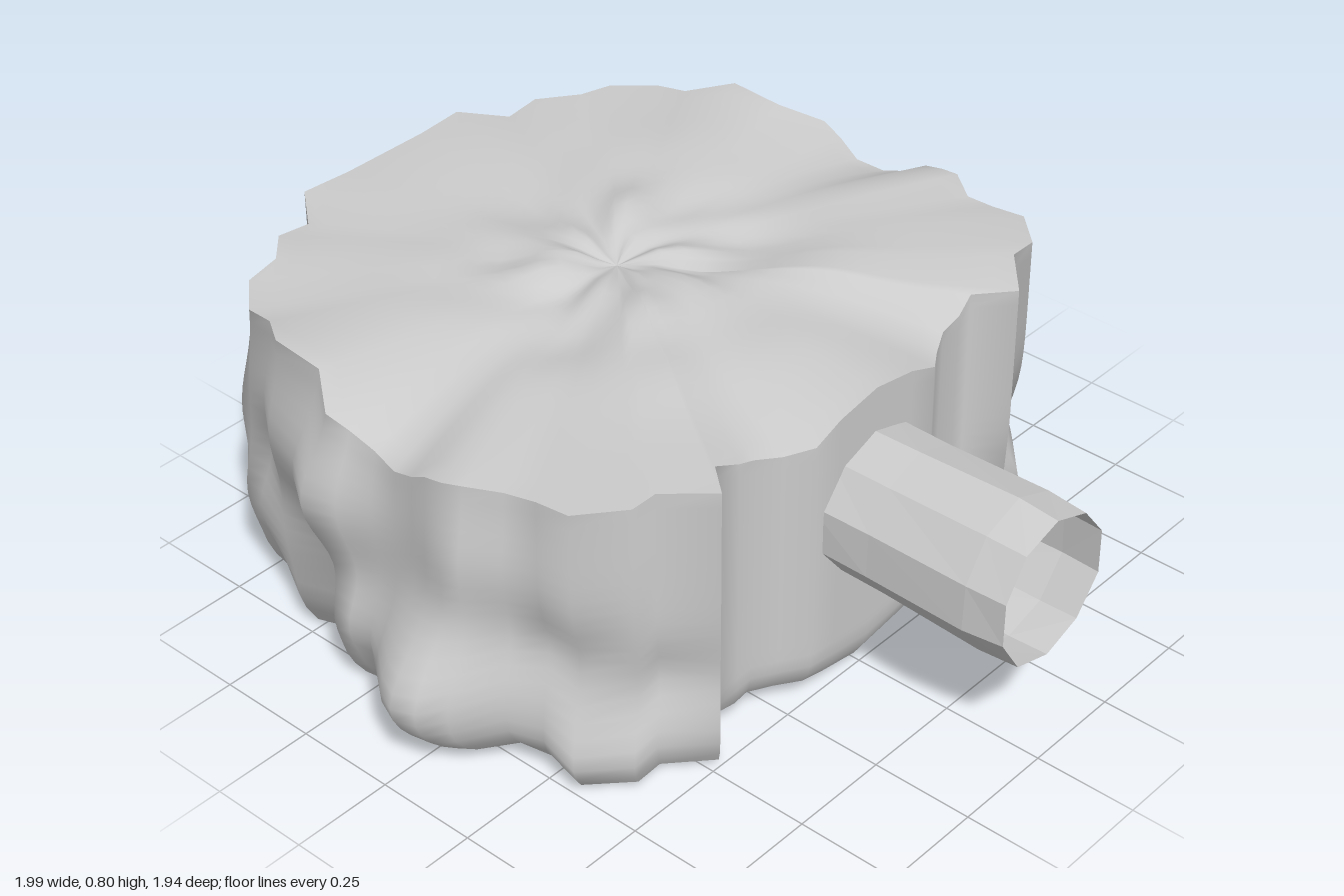
import * as THREE from 'three';

const CX = -0.23; // axis of the pot body

// Half of the rim, from the spout side round to the far side: x, z, rim height
const RIM = [
  [0.52, 0, 0.76], [0.52, 0.12, 0.74], [0.52, 0.2, 0.71], [0.48, 0.26, 0.7], [0.45, 0.32, 0.71],
  [0.455, 0.37, 0.73], [0.44, 0.43, 0.75], [0.52, 0.5, 0.76], [0.43, 0.6, 0.77], [0.43, 0.67, 0.77],
  [0.34, 0.76, 0.76], [0.25, 0.76, 0.75], [0.17, 0.77, 0.74], [0.1, 0.82, 0.75], [0.05, 0.83, 0.74],
  [0, 0.83, 0.73], [-0.05, 0.82, 0.7], [-0.11, 0.81, 0.68], [-0.18, 0.79, 0.69], [-0.24, 0.8, 0.72],
  [-0.3, 0.81, 0.74], [-0.39, 0.75, 0.78], [-0.53, 0.75, 0.79], [-0.63, 0.68, 0.76], [-0.71, 0.67, 0.75],
  [-0.8, 0.59, 0.75], [-0.81, 0.5, 0.76], [-0.89, 0.42, 0.75], [-0.89, 0.33, 0.74], [-0.99, 0.25, 0.75],
  [-0.98, 0.12, 0.75], [-0.98, 0, 0.75],
];

// Swellings and dents of the wall: x, z, y, outward push, spread
const BUMPS = [
  [0, 0.83, 0.19, 0.14, 0.15], [-0.34, 0.78, 0.53, 0.095, 0.15], [0.3, 0.76, 0.34, -0.05, 0.11],
  [-0.63, 0.69, 0.25, 0.06, 0.13], [-0.85, 0.5, 0.4, 0.065, 0.17], [0.12, 0.8, 0.54, 0.03, 0.13],
  [-0.25, 0.79, 0.2, 0.04, 0.1], [0.43, 0.62, 0.25, -0.05, 0.1], [-0.6, 0.7, 0.55, 0.03, 0.12],
  [0.38, 0.71, 0.1, 0.03, 0.08], [-0.45, 0.75, 0.2, -0.02, 0.1],
];

// Swellings and dents of the top: x, z, height, spread
const TOP_BUMPS = [
  [-0.02, 0.1, 0.04, 0.1], [-0.34, 0.1, 0.03, 0.09], [-0.34, -0.15, 0.025, 0.1], [0.17, 0.28, 0.025, 0.13],
  [0.17, -0.28, 0.025, 0.13], [-0.12, 0.28, -0.02, 0.12], [-0.1, -0.25, -0.02, 0.12], [0.3, 0, 0.01, 0.12],
  [-0.46, 0.45, 0.015, 0.2], [-0.46, -0.45, 0.015, 0.2], [-0.23, 0, -0.02, 0.06], [-0.65, 0, -0.015, 0.2],
];

const outline = [...RIM, ...RIM.slice(1, -1).reverse().map(([x, z, y]) => [x, -z, y])];

// Closed surface strip through equal loops of points
function loft(rows, name, material) {
  const n = rows[0].length, index = [];
  for (let i = 0; i < rows.length - 1; i++) {
    for (let j = 0; j < n; j++) {
      const k = (j + 1) % n;
      const a = i * n + j, b = a + n, c = i * n + k, d = c + n;
      index.push(a, b, c, b, d, c);
    }
  }
  const geometry = new THREE.BufferGeometry();
  geometry.setAttribute('position', new THREE.Float32BufferAttribute(rows.flat(2), 3));
  geometry.setIndex(index);
  geometry.computeVertexNormals();
  const mesh = new THREE.Mesh(geometry, material);
  mesh.name = name;
  return mesh;
}

// Point of the wall on one outline column at height fraction t
function wallPoint([x, z, top], t) {
  const len = Math.hypot(x, z);
  const bottom = 0.035 + 0.02 * Math.sin(x * 21 + Math.abs(z) * 13);
  const y = bottom + (top - bottom) * t;
  let push = -0.035 * Math.pow(1 - Math.min(1, t / 0.12), 2);
  for (const [bx, bz, by, amount, s] of BUMPS) {
    const d2 = (x - bx) ** 2 + (Math.abs(z) - bz) ** 2 + (y - by) ** 2;
    push += amount * Math.exp(-d2 / (s * s));
  }
  return [x + x / len * push, y, z + z / len * push];
}

export function createModel() {
  const group = new THREE.Group();
  const grey = new THREE.MeshStandardMaterial({ color: 0xcccccc });
  const faceted = new THREE.MeshStandardMaterial({ color: 0xcccccc, side: THREE.DoubleSide, flatShading: true });

  // Lumpy wall
  const wallRows = [];
  for (let i = 0; i <= 20; i++) wallRows.push(outline.map(p => wallPoint(p, i / 20)));
  group.add(loft(wallRows, 'bodyWall', grey));

  // Uneven top with short wrinkles around its middle
  const topRows = [];
  for (let i = 0; i <= 18; i++) {
    const r = 1 - i / 18;
    topRows.push(outline.map(p => {
      const [rimX, rimY, rimZ] = wallPoint(p, 1);
      const x = CX + (rimX - CX) * r, z = rimZ * r;
      const a = Math.atan2(z, x - CX), blend = r ** 3;
      const ring = r * Math.exp(-r * r * 9) * 4;
      let y = 0.765 + 0.015 * ring * (Math.sin(6 * a + 9 * r) + 0.6 * Math.sin(9 * a - 14 * r));
      for (const [bx, bz, height, s] of TOP_BUMPS) {
        y += height * Math.exp(-((x - bx) ** 2 + (z - bz) ** 2) / (s * s));
      }
      return [x, y * (1 - blend) + rimY * blend, z];
    }));
  }
  group.add(loft(topRows, 'bodyTop', grey));

  // Slightly uneven underside
  const bottomRows = [];
  for (let i = 0; i <= 8; i++) {
    const r = i / 8;
    bottomRows.push(outline.map(p => {
      const [rimX, rimY, rimZ] = wallPoint(p, 0);
      const x = CX + (rimX - CX) * r, z = rimZ * r;
      const inner = 0.008 + 0.008 * Math.sin(8 * x + 2 * z) * Math.cos(7 * z);
      return [x, inner + (rimY - inner) * r ** 8, z];
    }));
  }
  group.add(loft(bottomRows, 'bodyBottom', grey));

  // Open faceted pipe on the flattened side, with a slight swelling near its mouth
  const pipeRows = [[0.48, 0.176], [0.64, 0.176], [0.9, 0.184], [1, 0.177]].map(([x, r], i) =>
    Array.from({ length: 10 }, (_, j) => {
      const a = (j + 0.5) / 10 * Math.PI * 2;
      const s = r * (1 + 0.02 * Math.cos(3 * a + i));
      return [x, 0.47 + s * Math.sin(a), s * Math.cos(a)];
    }));
  group.add(loft(pipeRows, 'pipe', faceted));

  return group;
}
